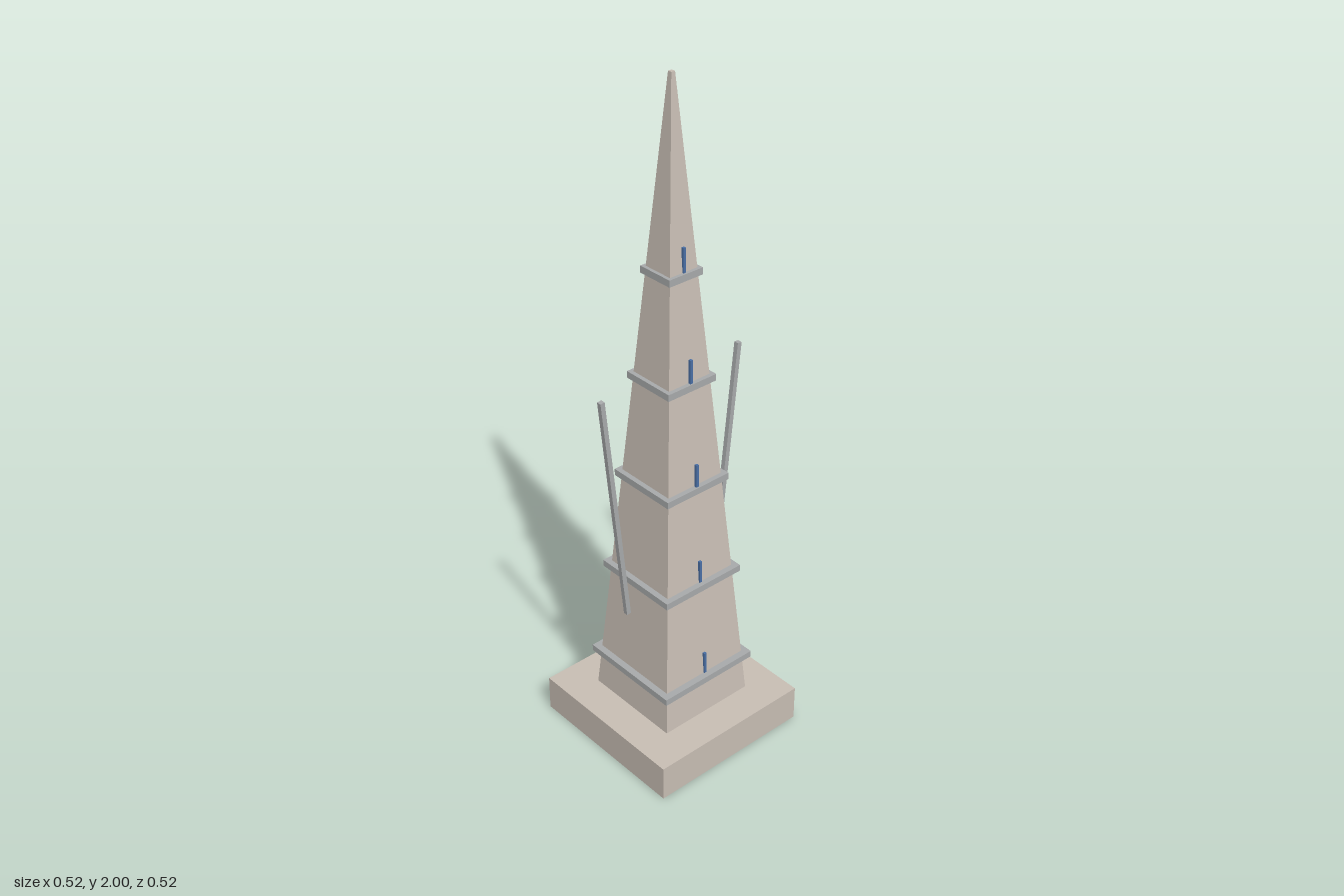
import * as THREE from 'three';

export function createModel() {
  const model = new THREE.Group();
  const stone = new THREE.MeshStandardMaterial({ color: 0xc8beb4 });
  stone.name = 'stone';
  const metal = new THREE.MeshStandardMaterial({ color: 0xa8aaab });
  metal.name = 'metal';
  const glass = new THREE.MeshStandardMaterial({ color: 0x4a6fa5 });
  glass.name = 'blueGlass';

  const addBox = (name, w, h, d, material, x, y, z) => {
    const mesh = new THREE.Mesh(new THREE.BoxGeometry(w, h, d), material);
    mesh.name = name;
    mesh.position.set(x, y, z);
    model.add(mesh);
    return mesh;
  };

  // Square plinth
  addBox('plinth', 0.516, 0.11, 0.516, stone, 0, 0.055, 0);

  // Tapered spire: a box whose top corners are drawn in to a tiny square
  const bottom = 0.11, top = 2, bottomHalf = 0.154, topHalf = 0.006;
  const spireGeo = new THREE.BoxGeometry(2 * bottomHalf, top - bottom, 2 * bottomHalf);
  const pos = spireGeo.attributes.position;
  for (let i = 0; i < pos.count; i++) {
    if (pos.getY(i) > 0) {
      pos.setX(i, Math.sign(pos.getX(i)) * topHalf);
      pos.setZ(i, Math.sign(pos.getZ(i)) * topHalf);
    }
  }
  spireGeo.computeVertexNormals();
  const spire = new THREE.Mesh(spireGeo, stone);
  spire.name = 'spire';
  spire.position.y = (bottom + top) / 2;
  model.add(spire);

  // Ledges around the spire, each with a narrow window above it on the front
  const windowZ = [0.1425, 0.119, 0.102, 0.075, 0.046];
  for (let i = 0; i < 5; i++) {
    const y = 0.235 + i * 0.31;
    const width = 2 * (0.1635 - i * 0.0268);
    addBox('ledge' + (i + 1), width, 0.02, width, metal, 0, y, 0);
    addBox('window' + (i + 1), 0.008, 0.07, 0.008, glass, 0, y + 0.045, windowZ[i]);
  }

  // Slanted rods on both sides, leaning outward
  for (const side of [-1, 1]) {
    const rod = addBox(side > 0 ? 'leftRod' : 'rightRod', 0.014, 0.722, 0.014, metal, side * 0.202, 0.82, 0);
    rod.rotation.z = -side * 0.105;
  }

  return model;
}
